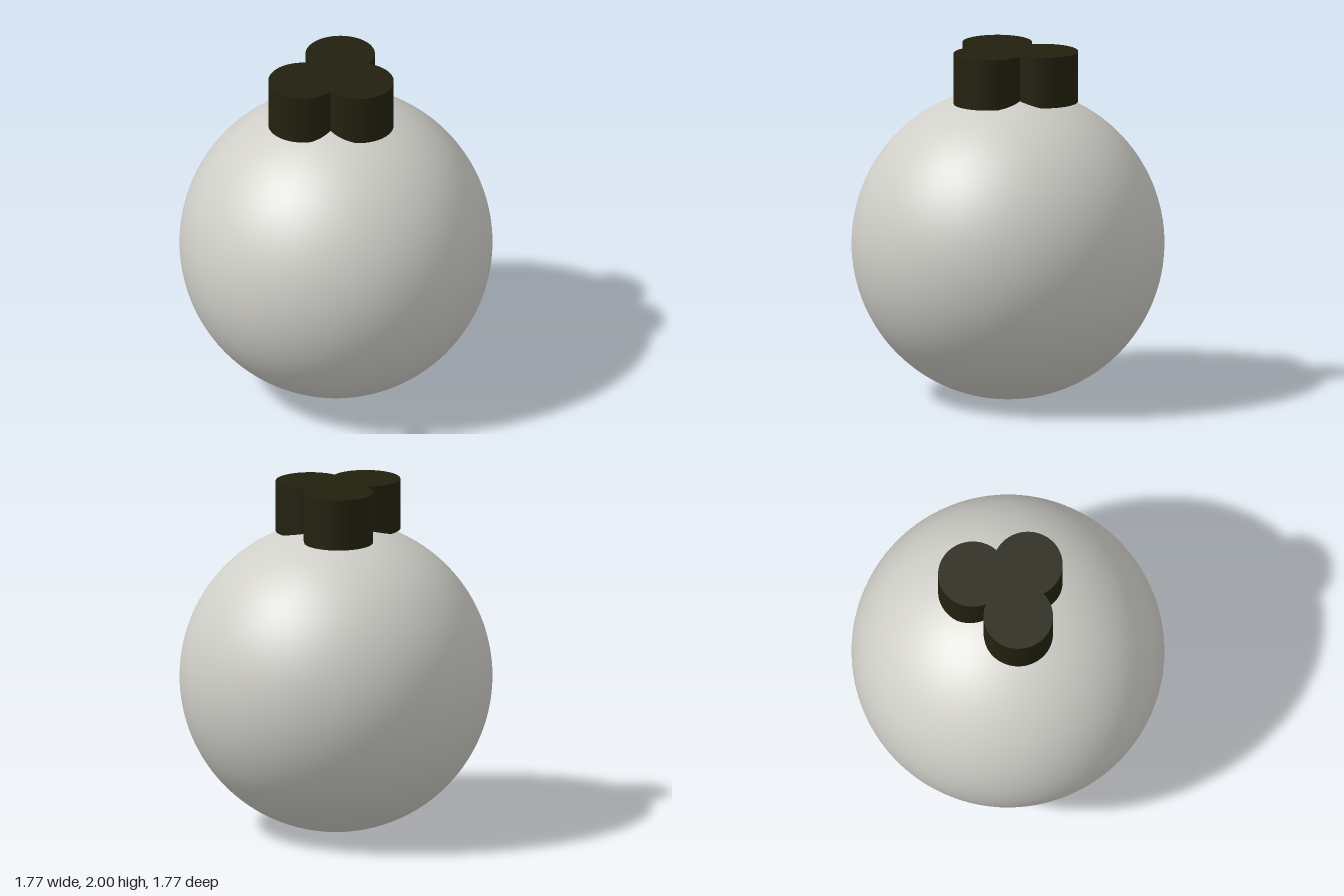
import * as THREE from 'three';

export function createModel() {
  const model = new THREE.Group();
  const shell = new THREE.MeshStandardMaterial({ name: 'warm grey', color: 0xcfcec8 });
  const dark = new THREE.MeshStandardMaterial({ name: 'dark olive', color: 0x22210f });

  // Round body
  const radius = 0.883;
  const body = new THREE.Mesh(new THREE.SphereGeometry(radius, 96, 64), shell);
  body.name = 'body';
  body.position.y = radius;
  model.add(body);

  // Three overlapping upright cylinders sunk into the top
  const cap = new THREE.Group();
  cap.name = 'cap';
  const bottom = 1.71, top = 2;
  const lobe = new THREE.CylinderGeometry(0.196, 0.196, top - bottom, 64);
  const lobes = [['frontLobe', 0, 0.16], ['backLeftLobe', 0.18, -0.1], ['backRightLobe', -0.18, -0.1]];
  for (const [name, x, z] of lobes) {
    const mesh = new THREE.Mesh(lobe, dark);
    mesh.name = name;
    mesh.position.set(x, (bottom + top) / 2, z);
    cap.add(mesh);
  }
  model.add(cap);

  return model;
}
